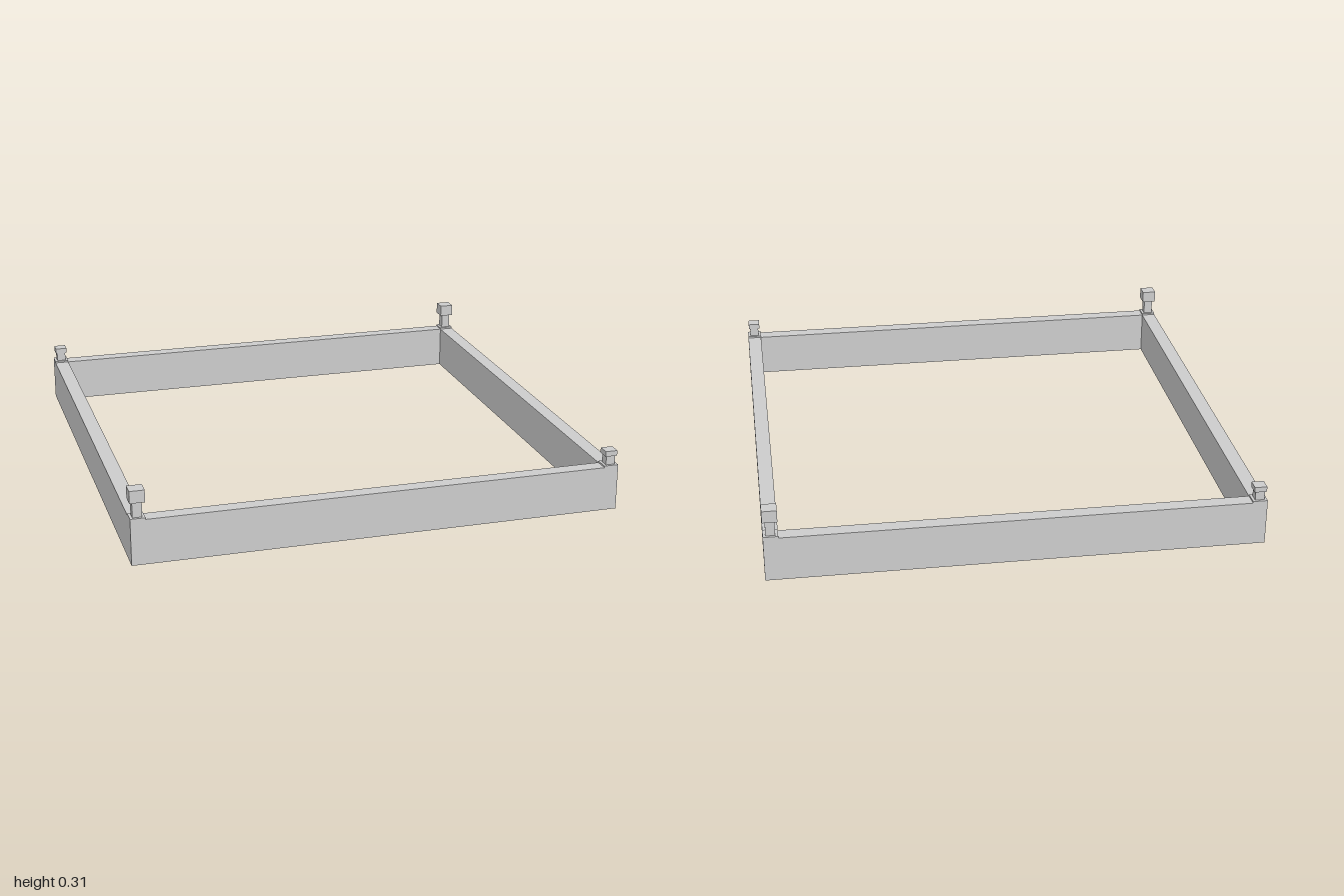
import * as THREE from 'three';

const material = new THREE.MeshStandardMaterial({ color: 0xcccccc });
const SIZE = 2, WALL = 0.06, HEIGHT = 0.185;

function squareOutline(path, half) {
  path.moveTo(-half, -half);
  path.lineTo(half, -half);
  path.lineTo(half, half);
  path.lineTo(-half, half);
  path.closePath();
  return path;
}

// Square block between two heights
function block(name, width, y0, y1) {
  const mesh = new THREE.Mesh(new THREE.BoxGeometry(width, y1 - y0, width), material);
  mesh.name = name;
  mesh.position.y = (y0 + y1) / 2;
  return mesh;
}

// Corner post: base plate, stem and cap; tall posts carry a larger, higher cap
function cornerPost(tall) {
  const post = new THREE.Group();
  post.name = tall ? 'tallCornerPost' : 'shortCornerPost';
  post.add(block('postBase', WALL, HEIGHT - 0.01, 0.192));
  if (tall) {
    post.add(block('postStem', 0.038, 0.192, 0.255));
    post.add(block('postCap', WALL, 0.255, 0.305));
  } else {
    post.add(block('postStem', 0.038, 0.192, 0.23));
    post.add(block('postCap', 0.05, 0.23, 0.252));
  }
  return post;
}

export function createModel() {
  const model = new THREE.Group();
  model.name = 'squareFrame';

  // Open square wall
  const shape = squareOutline(new THREE.Shape(), SIZE / 2);
  shape.holes.push(squareOutline(new THREE.Path(), SIZE / 2 - WALL));
  const geometry = new THREE.ExtrudeGeometry(shape, { depth: HEIGHT, bevelEnabled: false });
  geometry.rotateX(-Math.PI / 2);
  const wall = new THREE.Mesh(geometry, material);
  wall.name = 'frameWall';
  model.add(wall);

  // Posts alternate tall and short around the corners
  const offset = SIZE / 2 - WALL / 2;
  for (const sx of [-1, 1]) {
    for (const sz of [-1, 1]) {
      const post = cornerPost(sx !== sz);
      post.position.set(sx * offset, 0, sz * offset);
      model.add(post);
    }
  }
  return model;
}
